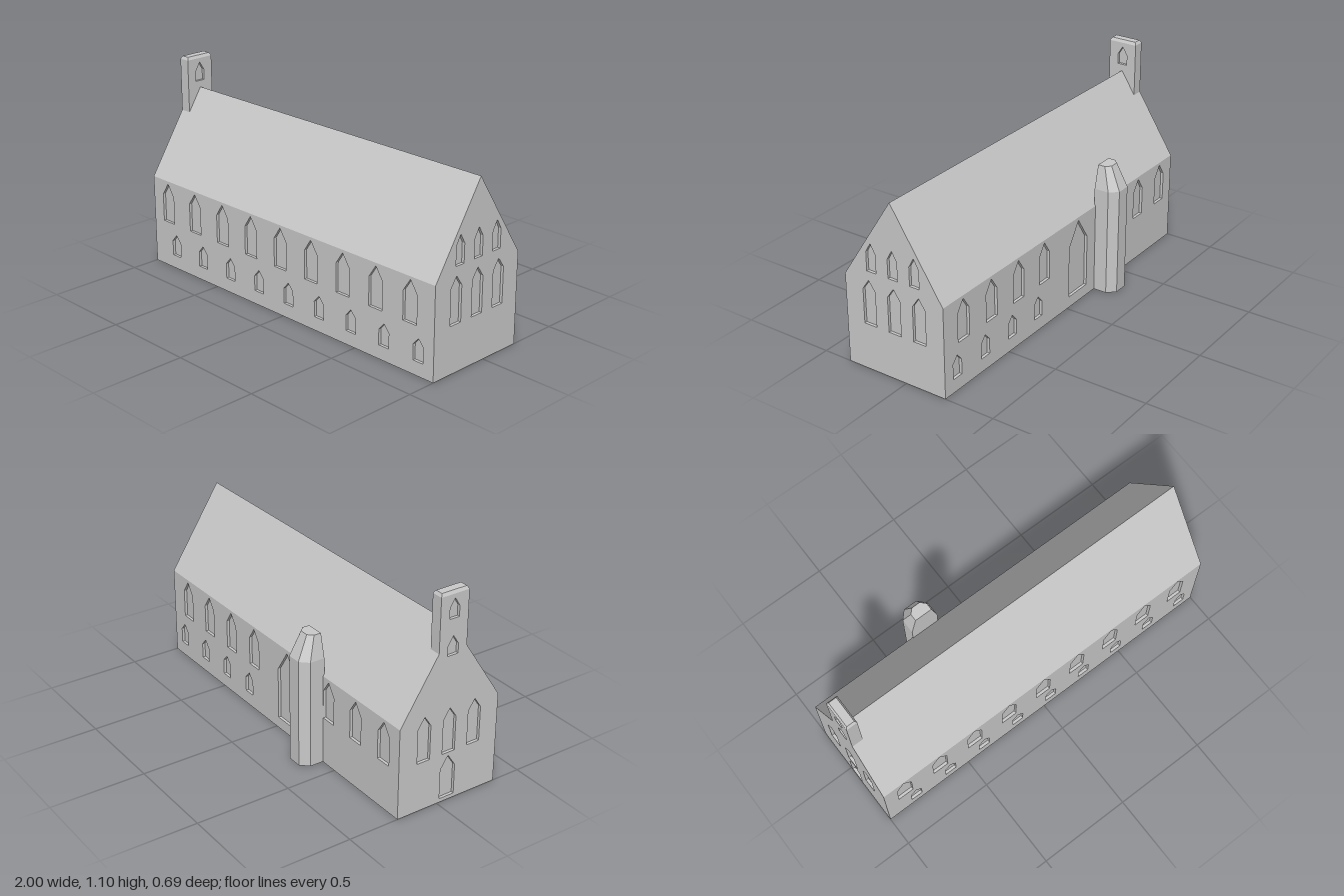
import * as THREE from 'three';
import { ConvexGeometry } from 'three/addons/geometries/ConvexGeometry.js';

const D = 0.015;                       // depth of the window recesses
const FRONT = 0.345, BACK = -0.23;     // long walls, in z
const RIDGE_Z = 0.0575, RIDGE_Y = 0.925, EAVE = 0.48;
const BELL_A = -0.022, BELL_B = 0.137, BELL_TOP = 1.082;

export function createModel() {
  const model = new THREE.Group();
  model.name = 'chapel';
  const stone = new THREE.MeshStandardMaterial({ color: 0xc8c8c8 });
  stone.name = 'grey stone';

  function add(name, geometry) {
    const mesh = new THREE.Mesh(geometry, stone);
    mesh.name = name;
    model.add(mesh);
    return mesh;
  }

  const polygon = (pts) => new THREE.Shape(pts.map(([x, y]) => new THREE.Vector2(x, y)));

  // Pointed opening: centre, width, sill, shoulder and apex heights
  const arch = (c, w, sill, shoulder, apex) => polygon([
    [c - w / 2, sill], [c + w / 2, sill], [c + w / 2, shoulder], [c, apex], [c - w / 2, shoulder],
  ]);

  // Slab whose outer face lies at distance dist along the direction given by turn
  function wall(name, outline, openings, turn, dist, depth = D) {
    const shape = polygon(outline);
    shape.holes.push(...openings);
    const geometry = new THREE.ExtrudeGeometry(shape, { depth, bevelEnabled: false });
    geometry.translate(0, 0, dist - depth);
    geometry.rotateY(turn);
    return add(name, geometry);
  }

  const roofY = (z) => RIDGE_Y - (RIDGE_Y - EAVE) * Math.abs(z - RIDGE_Z) / (FRONT - RIDGE_Z);
  const row = (n, start, step, ...size) =>
    Array.from({ length: n }, (_, i) => arch(start + i * step, ...size));
  const tall = [0.086, 0.25, 0.4, 0.465];
  const low = [0.064, 0.072, 0.153, 0.19];
  const STEP = 0.2164;

  // Solid core: the roof, and the backs of all the recesses
  wall('roofAndCore', [
    [-FRONT + D, 0], [-BACK - D, 0], [-BACK - D, EAVE], [-BACK, EAVE],
    [-RIDGE_Z, RIDGE_Y], [-FRONT, EAVE], [-FRONT + D, EAVE],
  ], [], Math.PI / 2, 1 - D, 2 - 2 * D);

  // Long walls
  const side = [[-1 + D, 0], [1 - D, 0], [1 - D, EAVE], [-1 + D, EAVE]];
  wall('frontWall', side, [
    ...row(9, -0.882, STEP, ...tall),
    ...row(9, -0.826, STEP, ...low),
  ], 0, FRONT);
  wall('backWall', side, [
    ...row(4, -0.852, STEP, ...tall),
    ...row(4, -0.905, STEP, ...low),
    arch(0.096, 0.16, 0.06, 0.34, 0.462),
    ...row(3, 0.449, STEP, ...tall),
  ], Math.PI, -BACK);

  // Gable end on the left
  wall('leftGable', [
    [-FRONT, 0], [-BACK, 0], [-BACK, EAVE], [-RIDGE_Z, RIDGE_Y], [-FRONT, EAVE],
  ], [
    ...row(3, -0.203, 0.1465, 0.073, 0.246, 0.432, 0.485),
    ...row(3, -0.183, 0.126, 0.055, 0.533, 0.632, 0.682),
  ], Math.PI / 2, 1);

  // Gable end on the right, rising into the bell gable
  const bellWindow = [0.055, 0.96, 1.015, 1.06];
  wall('rightGable', [
    [BACK, 0], [FRONT, 0], [FRONT, EAVE], [BELL_B, roofY(BELL_B)], [BELL_B, BELL_TOP],
    [BELL_A, BELL_TOP], [BELL_A, roofY(BELL_A)], [BACK, EAVE],
  ], [
    arch(RIDGE_Z, 0.085, 0.02, 0.18, 0.245),
    ...row(3, RIDGE_Z - 0.1465, 0.1465, 0.073, 0.262, 0.445, 0.5),
    arch(RIDGE_Z, 0.06, 0.775, 0.825, 0.872),
    arch(RIDGE_Z, ...bellWindow),
  ], -Math.PI / 2, 1);

  // Bell gable: solid middle, inner face with its recess, chamfered cap
  const bell = [[-BELL_B, 0.7], [-BELL_A, 0.7], [-BELL_A, BELL_TOP], [-BELL_B, BELL_TOP]];
  wall('bellGableMiddle', bell, [], Math.PI / 2, -0.94 - D, 0.06 - 2 * D);
  wall('bellGableInnerFace', bell, [arch(-RIDGE_Z, ...bellWindow)], Math.PI / 2, -0.94);
  const cap = [];
  for (const [y, inset] of [[BELL_TOP, 0], [1.097, 0.009]])
    for (const x of [-1 + inset, -0.94 - inset])
      for (const z of [BELL_A + inset, BELL_B - inset]) cap.push(new THREE.Vector3(x, y, z));
  add('bellGableCap', new ConvexGeometry(cap));

  // Stair turret: half octagon against the back wall, tapering at the top
  const turret = [];
  const ring = (y, half, flat, corner, outer) => {
    for (const s of [-1, 1])
      for (const [w, z] of [[half, -0.223], [half, corner], [flat, outer]])
        turret.push(new THREE.Vector3(-0.327 + s * w, y, z));
  };
  ring(0, 0.077, 0.038, -0.303, -0.345);
  ring(0.575, 0.077, 0.038, -0.303, -0.345);
  ring(0.697, 0.048, 0.024, -0.262, -0.287);
  add('stairTurret', new ConvexGeometry(turret));

  return model;
}
